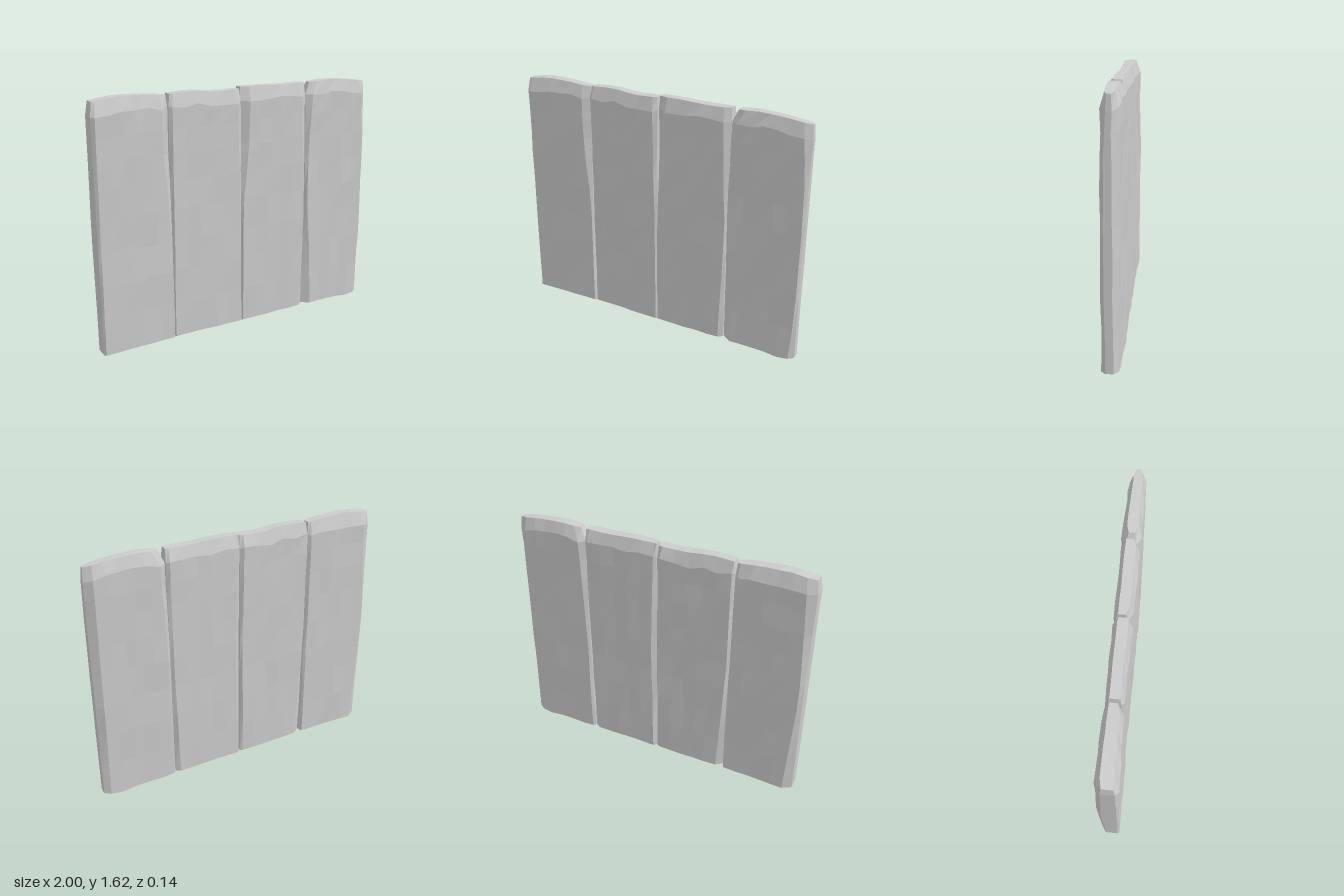
import * as THREE from 'three';

const ROWS = 10; // cross-sections per slab
const COLS = 8; // points along one face, chamfer corners included

// Piecewise-linear lookup in evenly spaced values, t from 0 to 1
function sample(values, t) {
  const f = Math.min(Math.max(t, 0), 1) * (values.length - 1);
  const i = Math.min(Math.floor(f), values.length - 2);
  return THREE.MathUtils.lerp(values[i], values[i + 1], f - i);
}

// Repeatable noise from -1 to 1
function seeded(seed) {
  let s = seed;
  return () => ((s = (s * 16807) % 2147483647) / 2147483647) * 2 - 1;
}

// A rough slab: chamfered cross-sections stacked from bottom to top
function slabGeometry({ x, front, back, top, bottom, inset, frontEdges, backEdges, seed }) {
  const rnd = seeded(seed), pos = [], idx = [];
  const last = ROWS - 1, ring = COLS * 2;

  for (let row = 0; row < ROWS; row++) {
    // Rows bunch towards the top, where the slab is bevelled
    const t = 1 - Math.pow(1 - row / last, 1.35);
    const isTop = row === last;
    const x0 = x[0] + (isTop ? inset : 0), x1 = x[1] - (isTop ? 0.006 : 0);

    const face = (depth, edges, sign) => {
      const cl = sample(edges[0], t), cr = sample(edges[1], t), pts = [];
      for (let i = 0; i < COLS; i++) {
        const corner = i === 0 || i === COLS - 1;
        const inner = i > 1 && i < COLS - 2;
        let px = THREE.MathUtils.lerp(x0 + cl, x1 - cr, (i - 1) / (COLS - 3));
        if (corner) px = i === 0 ? x0 : x1;
        if (inner) px += rnd() * 0.015;
        const u = (px - x[0]) / (x[1] - x[0]);
        let z = sample(depth, u) + rnd() * 0.004;
        if (corner) z -= sign * Math.min(0.035, 0.006 + (i === 0 ? cl : cr) * 0.6);
        if (isTop) z *= corner ? 0.75 : 0.55;
        const y = THREE.MathUtils.lerp(sample(bottom, u), sample(top, u), t);
        pts.push([px, y + (row > 0 && !isTop ? rnd() * 0.012 : 0), z]);
      }
      return pts;
    };
    const outline = [...face(front, frontEdges, 1), ...face(back, backEdges, -1).reverse()];
    outline.forEach(p => pos.push(...p));
  }

  // Skin between neighbouring cross-sections
  for (let r = 0; r < last; r++) {
    for (let i = 0; i < ring; i++) {
      const a = r * ring + i, b = r * ring + (i + 1) % ring;
      idx.push(a, b, b + ring, a, b + ring, a + ring);
    }
  }
  // Top and bottom caps join front points to the back points behind them
  const o = last * ring;
  for (let f = 0; f < COLS - 1; f++) {
    const g = f + 1, k = ring - 1 - f, m = k - 1;
    idx.push(o + f, o + g, o + m, o + f, o + m, o + k);
    idx.push(f, m, g, f, k, m);
  }
  const geo = new THREE.BufferGeometry();
  geo.setAttribute('position', new THREE.Float32BufferAttribute(pos, 3));
  geo.setIndex(idx);
  geo.computeVertexNormals();
  return geo;
}

export function createModel() {
  const group = new THREE.Group();
  group.name = 'slabWall';
  const material = new THREE.MeshStandardMaterial({ color: 0xcccccc, flatShading: true });

  // Edge lists give the chamfer width of the -x and +x edges, bottom to top
  const addSlab = (name, spec) => {
    const mesh = new THREE.Mesh(slabGeometry(spec), material);
    mesh.name = name;
    group.add(mesh);
  };

  addSlab('slabOuterRight', {
    x: [-1, -0.508], front: [0.068, 0.06], back: [-0.07, -0.06], inset: 0.012, seed: 101,
    top: [1.6, 1.62, 1.615, 1.6], bottom: [0.015, 0.02],
    frontEdges: [[0.01, 0.02], [0.006, 0.006, 0.01, 0.048, 0.05]],
    backEdges: [[0.06, 0.02, 0.06], [0.01, 0.02]]
  });
  addSlab('slabInnerRight', {
    x: [-0.505, -0.002], front: [0.052, 0.056], back: [-0.058, -0.06], inset: 0.012, seed: 1078,
    top: [1.605, 1.615, 1.595, 1.6], bottom: [0.02, 0.015],
    frontEdges: [[0.006, 0.02], [0.006, 0.015, 0.03]],
    backEdges: [[0.05, 0.012, 0.015], [0.02, 0.012, 0.025]]
  });
  addSlab('slabInnerLeft', {
    x: [0.001, 0.499], front: [0.054, 0.055], back: [-0.06, -0.063], inset: 0.004, seed: 2055,
    top: [1.61, 1.61, 1.602, 1.605], bottom: [0.015, 0.018],
    frontEdges: [[0.005, 0.005, 0.006, 0.05, 0.06], [0.03, 0.02, 0.006, 0.03, 0.045]],
    backEdges: [[0.02, 0.035, 0.015], [0.035, 0.02, 0.02]]
  });
  addSlab('slabOuterLeft', {
    x: [0.501, 1], front: [0.058, 0.045], back: [-0.067, -0.053], inset: 0.036, seed: 3032,
    top: [1.6, 1.612, 1.602, 1.58], bottom: [0.018, 0.016, 0.016, 0, 0.012],
    frontEdges: [[0.06, 0.045, 0.012, 0.02, 0.05], [0.035, 0.012, 0.012, 0.015, 0.05]],
    backEdges: [[0.015, 0.015, 0.045], [0.04, 0.045, 0.05]]
  });
  return group;
}
